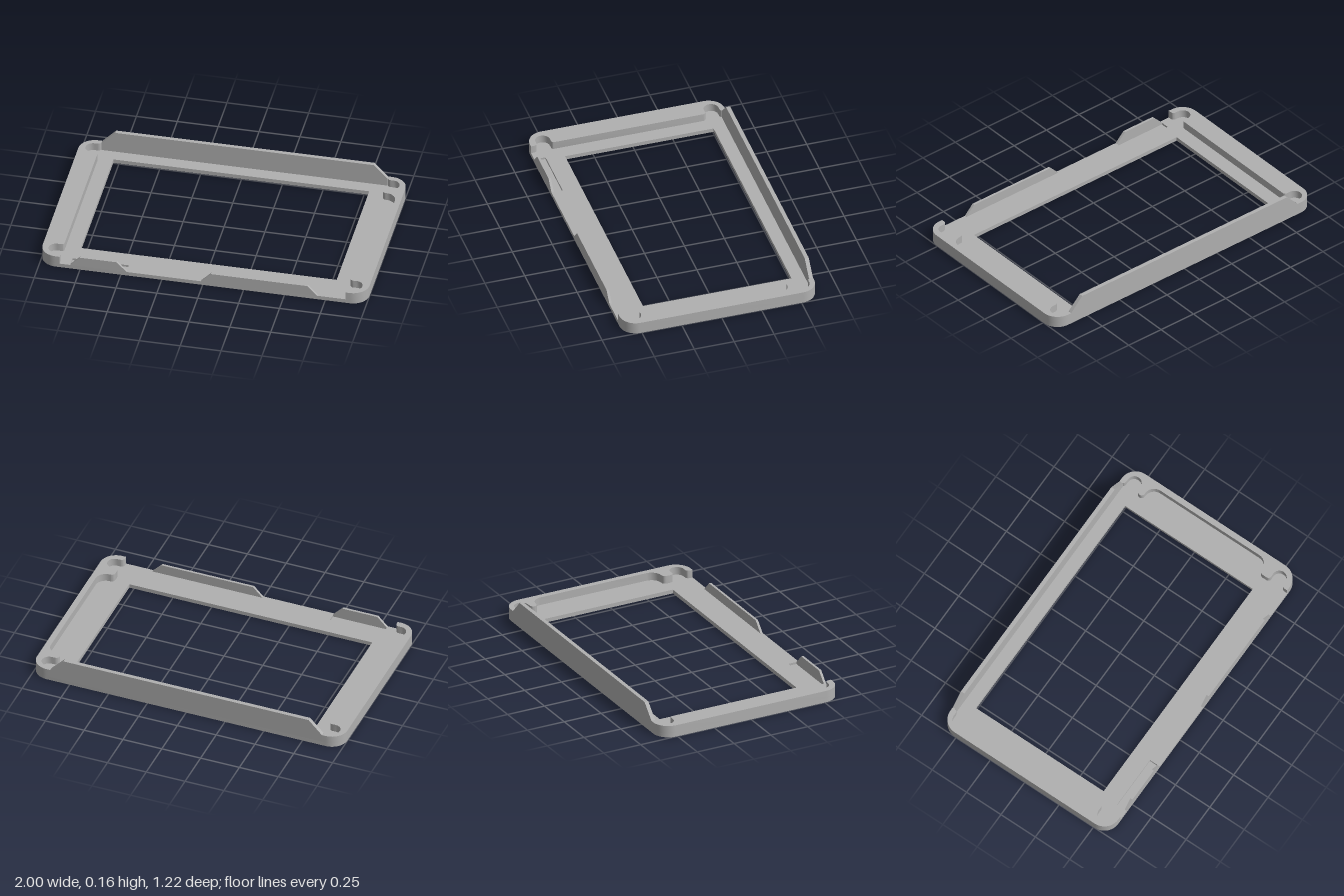
import * as THREE from 'three';
import { toCreasedNormals } from 'three/addons/utils/BufferGeometryUtils.js';

const FLOOR = 0.025, RIM = 0.075, POCKET_FLOOR = 0.012;
const HALF_DEPTH = 0.61, CORNER = 0.1;

// Points along an arc, angles in degrees
function arc(cx, cy, r, from, to, n = 12) {
  return Array.from({ length: n + 1 }, (_, i) => {
    const a = THREE.MathUtils.degToRad(from + ((to - from) * i) / n);
    return [cx + r * Math.cos(a), cy + r * Math.sin(a)];
  });
}

const toVectors = (pts) => pts.map(([x, y]) => new THREE.Vector2(x, y));

const rect = (x0, x1, y0, y1) => [[x0, y0], [x1, y0], [x1, y1], [x0, y1]];

function extrude(pts, depth, holes = []) {
  const shape = new THREE.Shape(toVectors(pts));
  holes.forEach((h) => shape.holes.push(new THREE.Path(toVectors(h))));
  return new THREE.ExtrudeGeometry(shape, { depth, bevelEnabled: false });
}

// Horizontal slab drawn in plan (x, -z), spanning y0 to y1
function slab(pts, y0, y1, holes) {
  const g = extrude(pts, y1 - y0, holes);
  g.rotateX(-Math.PI / 2);
  g.translate(0, y0, 0);
  return toCreasedNormals(g, 0.5);
}

// Upright plate drawn in elevation (x, y), spanning z0 to z1
function plate(pts, z0, z1) {
  const g = extrude(pts, z1 - z0);
  g.translate(0, 0, z0);
  return g;
}

// Side rim in plan for the -x side: outer edge, two corner pockets, given inner edge
function rimOutline(innerEdge) {
  const c = 1 - CORNER, d = HALF_DEPTH - CORNER;
  return [
    [-0.875, HALF_DEPTH],
    ...arc(-c, d, CORNER, 90, 180),
    ...arc(-c, -d, CORNER, 180, 270),
    [-0.875, -HALF_DEPTH],
    ...arc(-0.895, -0.59, 0.02, 0, 90, 5),
    ...arc(-0.915, -0.525, 0.045, 270, 90),
    ...innerEdge,
    ...arc(-0.915, 0.53, 0.045, 270, 90),
    ...arc(-0.895, 0.595, 0.02, -90, 0, 5),
  ];
}

export function createModel() {
  const group = new THREE.Group();
  const grey = new THREE.MeshStandardMaterial({ color: 0xb0b0b0 });
  grey.name = 'grey plastic';
  const add = (name, geometry) => {
    const mesh = new THREE.Mesh(geometry, grey);
    mesh.name = name;
    group.add(mesh);
  };

  // Base frame in two layers, the upper one with a shallow recess
  const c = 1 - CORNER, d = HALF_DEPTH - CORNER;
  const outline = [
    ...arc(c, d, CORNER, 0, 90),
    ...arc(-c, d, CORNER, 90, 180),
    ...arc(-c, -d, CORNER, 180, 270),
    ...arc(c, -d, CORNER, 270, 360),
  ];
  const opening = rect(-0.785, 0.78, -0.425, 0.505);
  const recess = rect(-0.81, -0.465, -0.595, -0.54);
  add('frameBottom', slab(outline, 0, POCKET_FLOOR, [opening]));
  add('frameTop', slab(outline, POCKET_FLOOR, FLOOR, [opening, recess]));

  // Wide rim with a straight inner edge
  const straightEdge = [
    ...arc(-0.89, -0.465, 0.015, -90, 0, 5),
    ...arc(-0.89, 0.47, 0.015, 0, 90, 5),
  ];
  add('rightRim', slab(rimOutline(straightEdge), FLOOR, RIM));

  // Thin rim, with rounded tabs beside the corner pockets
  const tabbedEdge = [
    ...arc(-0.895, -0.46, 0.022, -90, 0, 5),
    ...arc(-0.895, -0.432, 0.022, 0, 90, 5),
    ...arc(-0.9, -0.345, 0.065, 270, 180),
    ...arc(-0.9, 0.375, 0.065, 180, 90),
    ...arc(-0.895, 0.4625, 0.0225, -90, 90, 10),
  ];
  const mirrored = rimOutline(tabbedEdge).map(([x, y]) => [-x, y]).reverse();
  add('leftRim', slab(mirrored, FLOOR, RIM));

  // Tall back wall with sloping ends
  add('backWall', plate([
    [-0.875, FLOOR], [0.875, FLOOR], [0.875, RIM],
    [0.79, 0.163], [-0.79, 0.163], [-0.875, RIM],
  ], -HALF_DEPTH, -0.585));

  // Low trapezoid lips along the front edge
  [['frontLipShort', -0.81, -0.465], ['frontLipLong', -0.01, 0.7]].forEach(([name, x0, x1]) => {
    add(name, plate([
      [x0, FLOOR], [x1, FLOOR], [x1 - 0.06, 0.087], [x0 + 0.06, 0.087],
    ], 0.595, HALF_DEPTH));
  });

  return group;
}
